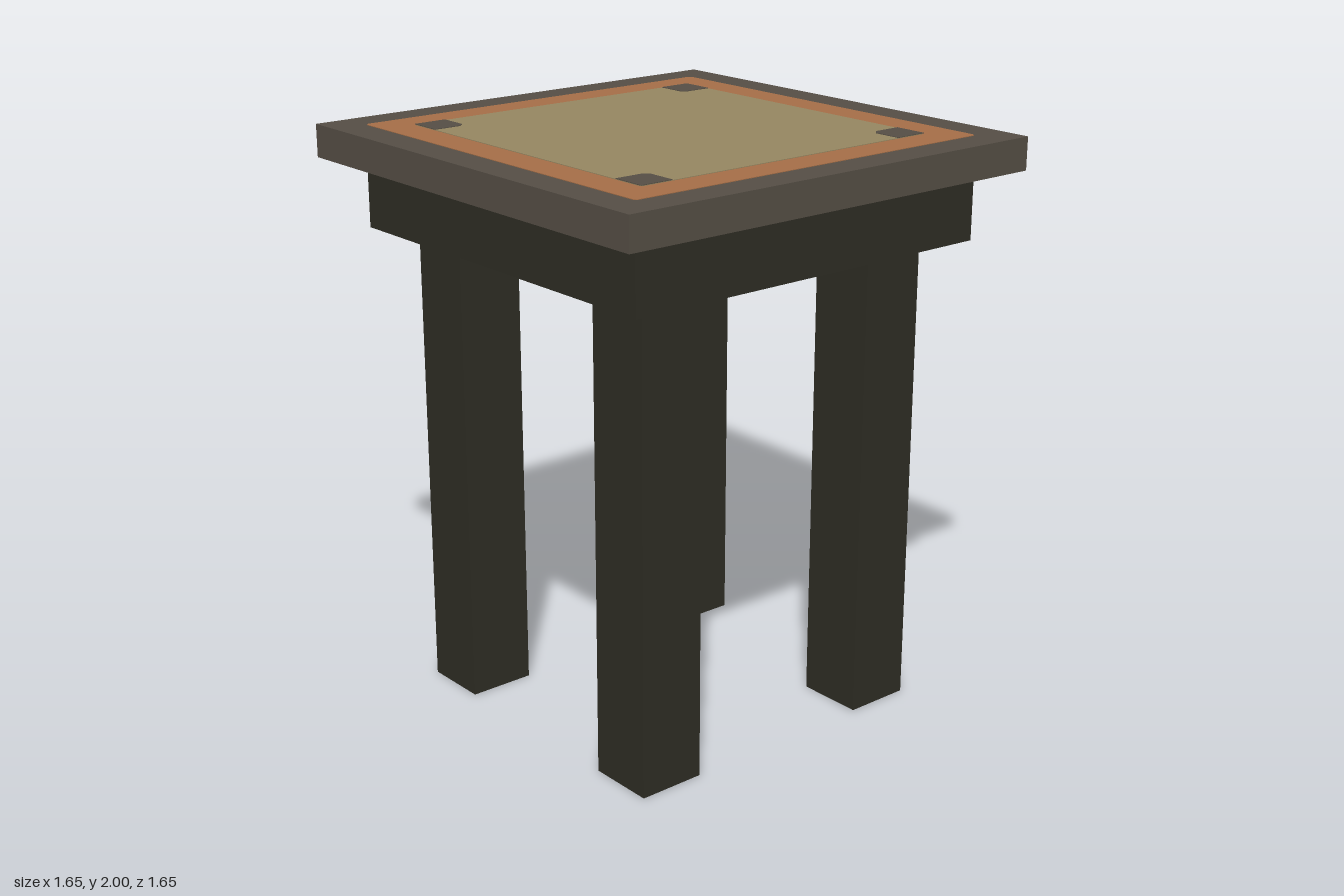
import * as THREE from 'three';

const U = 2 / 17; // proportional unit: the table is 17 units tall

const mat = (name, color) => {
  const m = new THREE.MeshStandardMaterial({ color });
  m.name = name;
  return m;
};

export function createModel() {
  const group = new THREE.Group();
  const darkWood = mat('dark wood', 0x2e2d24);
  const greyTrim = mat('grey trim', 0x554e45);
  const orange = mat('orange border', 0xa56e47);
  const tan = mat('tan panel', 0x958661);

  const add = (name, geometry, material, x, y, z) => {
    const mesh = new THREE.Mesh(geometry, material);
    mesh.name = name;
    mesh.position.set(x, y, z);
    group.add(mesh);
    return mesh;
  };

  // Thin horizontal plate from a 2D outline, rising from y
  const plate = (name, points, material, x, y, z) => {
    const shape = new THREE.Shape(points.map(([a, b]) => new THREE.Vector2(a, b)));
    const geometry = new THREE.ExtrudeGeometry(shape, { depth: 0.002, bevelEnabled: false });
    geometry.rotateX(-Math.PI / 2);
    return add(name, geometry, material, x, y, z);
  };

  // Square outline with clipped corners
  const clippedSquare = (h, c) => [
    [-h + c, -h], [h - c, -h], [h, -h + c], [h, h - c],
    [h - c, h], [-h + c, h], [-h, h - c], [-h, -h + c],
  ];

  // Table top and apron
  const slabTop = 1.994;
  const slabHeight = slabTop - 16 * U;
  add('tableTop', new THREE.BoxGeometry(14 * U, slabHeight, 14 * U), greyTrim, 0, 16 * U + slabHeight / 2, 0);
  add('apron', new THREE.BoxGeometry(12 * U, 2 * U, 12 * U), darkWood, 0, 15 * U, 0);

  // Layered inlay on the table top
  plate('inlayBorder', clippedSquare(6 * U, 0.01), orange, 0, slabTop, 0);
  plate('inlayPanel', clippedSquare(5 * U, 0.005), tan, 0, slabTop + 0.002, 0);

  // Legs and corner studs
  const h = U / 2;
  for (const sx of [-1, 1]) {
    for (const sz of [-1, 1]) {
      add('leg', new THREE.BoxGeometry(2 * U, 14 * U, 2 * U), darkWood, sx * 4 * U, 7 * U, sz * 4 * U);
      // Each stud has its corner facing the table centre clipped
      const stud = plate('cornerStud', [[-h, -h], [h, -h], [h, h - 0.018], [h - 0.018, h], [-h, h]],
        greyTrim, sx * 4.5 * U, slabTop + 0.004, sz * 4.5 * U);
      stud.rotation.y = sx < 0 ? (sz > 0 ? 0 : -Math.PI / 2) : (sz > 0 ? Math.PI / 2 : Math.PI);
    }
  }
  return group;
}
